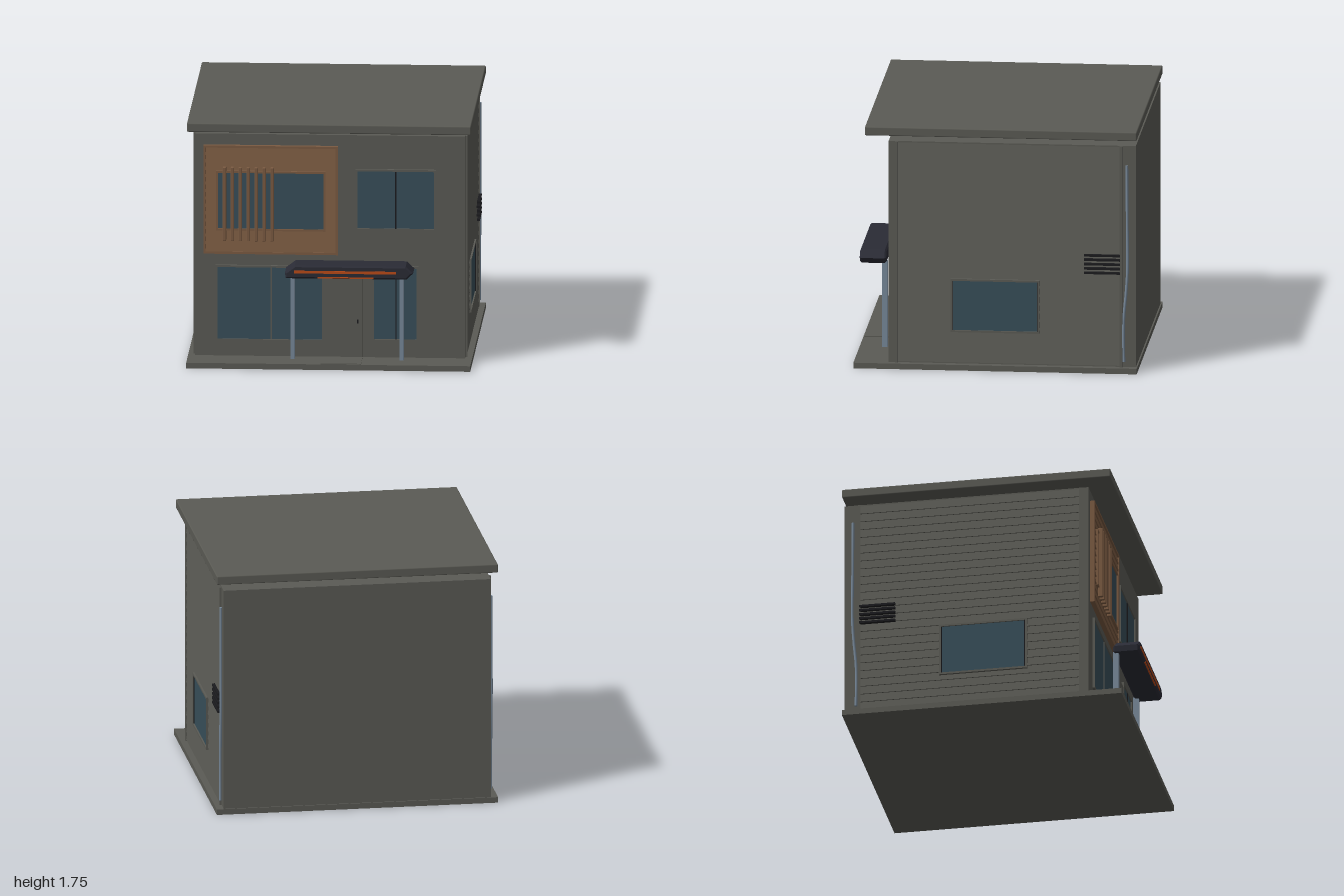
import * as THREE from 'three';
import { RoundedBoxGeometry } from 'three/addons/geometries/RoundedBoxGeometry.js';

const mat = (name, color) => {
  const m = new THREE.MeshStandardMaterial({ color });
  m.name = name;
  return m;
};

export function createModel() {
  const grey = mat('wall grey', 0x5b5b55);
  const wood = mat('wood brown', 0x7b5b42);
  const glass = mat('glass blue', 0x384f5a);
  const navy = mat('canopy navy', 0x2a2b35);
  const orange = mat('stripe orange', 0xbb4b18);
  const metal = mat('metal blue grey', 0x78899a);
  const black = mat('vent black', 0x1b1b1e);

  const house = new THREE.Group();
  house.name = 'house';

  const add = (parent, name, geometry, material, x = 0, y = 0, z = 0) => {
    const m = new THREE.Mesh(geometry, material);
    m.name = name;
    m.position.set(x, y, z);
    parent.add(m);
    return m;
  };
  // box given by its limits on each axis
  const box = (parent, name, material, [x0, x1], [y0, y1], [z0, z1]) =>
    add(parent, name, new THREE.BoxGeometry(x1 - x0, y1 - y0, z1 - z0), material,
      (x0 + x1) / 2, (y0 + y1) / 2, (z0 + z1) / 2);

  // overlapping boards: sawtooth profile facing +x, run along z
  const boards = (height, count, depth, length) => {
    const s = new THREE.Shape();
    const step = height / count;
    s.moveTo(-0.005, 0);
    for (let i = 0; i < count; i++) {
      s.lineTo(depth, i * step);
      s.lineTo(0, (i + 1) * step);
    }
    s.lineTo(-0.005, height);
    const g = new THREE.ExtrudeGeometry(s, { depth: length, bevelEnabled: false });
    return g.translate(0, 0, -length / 2);
  };

  // framed window facing +z, on the plane z = 0
  const makeWindow = (name, w, h, frameMaterial, bar = null, barMaterial = grey) => {
    const g = new THREE.Group();
    g.name = name;
    const t = 0.014;
    const s = new THREE.Shape();
    s.moveTo(-w / 2, -h / 2).lineTo(w / 2, -h / 2).lineTo(w / 2, h / 2).lineTo(-w / 2, h / 2);
    const a = w / 2 - t, b = h / 2 - t;
    const hole = new THREE.Path();
    hole.moveTo(-a, -b).lineTo(-a, b).lineTo(a, b).lineTo(a, -b);
    s.holes.push(hole);
    add(g, 'windowFrame', new THREE.ExtrudeGeometry(s, { depth: 0.018, bevelEnabled: false }), frameMaterial);
    add(g, 'windowPane', new THREE.BoxGeometry(2 * a, 2 * b, 0.008), glass, 0, 0, 0.004);
    if (bar !== null) add(g, 'windowBar', new THREE.BoxGeometry(0.01, 2 * b, 0.014), barMaterial, bar, 0, 0.007);
    house.add(g);
    return g;
  };

  // main volumes
  const front = 0.755, back = -0.99;
  box(house, 'baseSlab', grey, [-1, 1], [0, 0.04], [-1, 1]);
  box(house, 'walls', grey, [-0.95, 0.95], [0.04, 1.64], [back, front]);
  add(house, 'roof', new RoundedBoxGeometry(2, 0.063, 1.92, 1, 0.008), grey, 0, 1.718, -0.04);
  box(house, 'doorStep', grey, [-0.055, 0.23], [0.04, 0.047], [front, 0.995]);

  // both sides: cladding, corner trims, window, vent and downpipe
  for (const side of [1, -1]) {
    const clad = add(house, 'sideCladding', boards(1.58, 26, 0.01, 1.58), grey, side * 0.95, 0.05, -0.095);
    if (side < 0) clad.rotation.y = Math.PI;

    for (const z of [0.70, -0.885])
      box(house, 'cornerTrim', grey, [side * 0.956 - 0.008, side * 0.956 + 0.008], [0.04, 1.635], [z - 0.01, z + 0.01]);

    const win = makeWindow('sideWindow', 0.63, 0.385, grey);
    win.position.set(side * 0.953, 0.4625, 0.003);
    win.rotation.y = side * Math.PI / 2;
    for (const e of [-1, 1])
      add(win, 'windowEdge', new THREE.BoxGeometry(0.009, 0.355, 0.014), black, e * 0.3, 0, 0.008);

    for (let i = 0; i < 5; i++)
      box(house, 'ventSlat', black, [side * 0.965 - 0.013, side * 0.965 + 0.013],
        [0.713 + i * 0.0315, 0.728 + i * 0.0315], [-0.88, -0.625]);

    const path = new THREE.CatmullRomCurve3(
      [[1.5, -0.927], [1.1, -0.93], [0.75, -0.932], [0.58, -0.922], [0.4, -0.906], [0.25, -0.903], [0.08, -0.907]]
        .map(([y, z]) => new THREE.Vector3(side * 0.962, y, z)));
    add(house, 'downpipe', new THREE.TubeGeometry(path, 24, 0.01, 8), metal);
    for (const t of [0, 1]) {
      const p = path.getPoint(t);
      const cap = add(house, 'pipeEnd', new THREE.CircleGeometry(0.01, 8), metal, p.x, p.y, p.z);
      cap.rotation.x = t ? Math.PI / 2 : -Math.PI / 2;
    }
  }

  // wooden feature panel with frame, window and vertical fins
  const panel = new THREE.Group();
  panel.name = 'woodPanel';
  house.add(panel);
  const planks = add(panel, 'woodPlanks', boards(0.75, 14, 0.008, 0.92), wood, -0.4175, 0.795, 0.776);
  planks.rotation.y = -Math.PI / 2;
  box(panel, 'panelBacking', wood, [-0.885, 0.05], [0.785, 1.555], [front, 0.774]);
  for (const y of [0.78, 1.545]) box(panel, 'panelRail', wood, [-0.89, 0.057], [y, y + 0.016], [front, 0.788]);
  for (const x of [-0.89, 0.041]) box(panel, 'panelStile', wood, [x, x + 0.016], [0.796, 1.545], [front, 0.788]);
  makeWindow('panelWindow', 0.77, 0.43, wood).position.set(-0.415, 1.165, 0.777);
  for (let i = 0; i < 7; i++) {
    const x = -0.741 + i * 0.056;
    add(panel, 'verticalFin', new RoundedBoxGeometry(0.024, 0.53, 0.034, 1, 0.004), wood, x, 1.145, 0.803);
  }

  // front windows
  makeWindow('upperWindow', 0.565, 0.44, grey, 0, black).position.set(0.4625, 1.178, front);
  makeWindow('lowerLeftWindow', 0.785, 0.545, grey, -0.002).position.set(-0.4125, 0.4225, front);
  makeWindow('lowerRightWindow', 0.325, 0.54, grey, 0.005, black).position.set(0.4595, 0.43, front);

  // door
  box(house, 'door', grey, [-0.055, 0.23], [0.045, 0.625], [front, 0.783]);
  box(house, 'doorHandle', black, [0.19, 0.202], [0.29, 0.318], [0.783, 0.797]);

  // canopy: angular profile with bevelled front and back
  const c = new THREE.Shape();
  c.moveTo(-0.29, 0.667).lineTo(0.545, 0.667).lineTo(0.58, 0.7).lineTo(0.54, 0.738)
    .lineTo(-0.232, 0.738).lineTo(-0.293, 0.692);
  const canopyGeo = new THREE.ExtrudeGeometry(c, {
    depth: 0.163, bevelEnabled: true, bevelSegments: 1, bevelSize: 0.012, bevelThickness: 0.012,
  });
  add(house, 'canopy', canopyGeo, navy, 0, 0, 0.819);
  box(house, 'canopyStripe', orange, [-0.24, 0.478], [0.694, 0.713], [0.991, 0.998]);
  box(house, 'canopyLowerStripe', orange, [-0.075, 0.32], [0.66, 0.67], [0.988, 0.997]);

  // canopy posts
  for (const x of [-0.26, 0.508])
    box(house, 'canopyPost', metal, [x - 0.015, x + 0.015], [0.04, 0.665], [0.803, 0.843]);

  return house;
}
